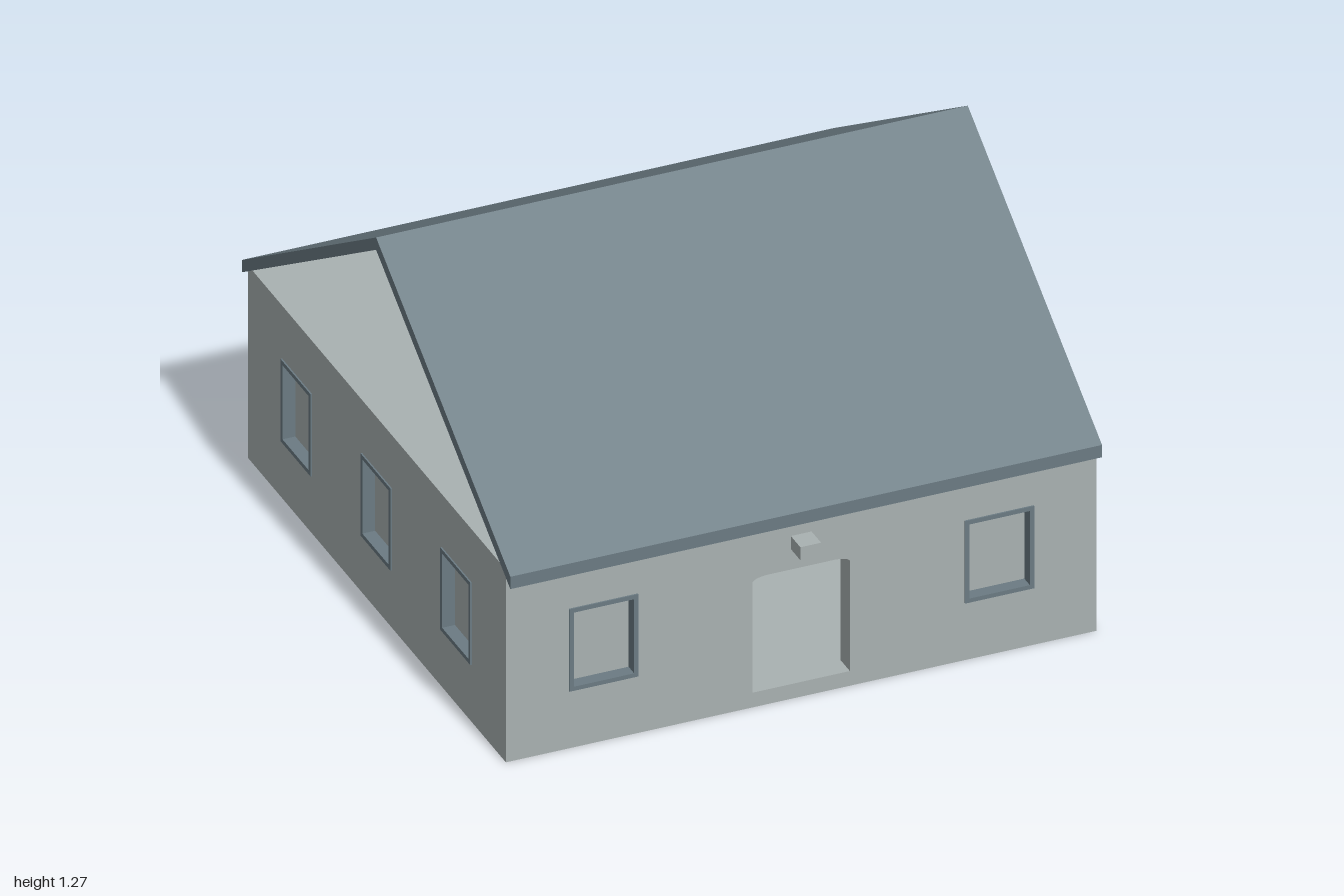
import * as THREE from 'three';

const wallMat = new THREE.MeshStandardMaterial({ color: 0xa9b1b1 });
wallMat.name = 'wall grey';
const roofMat = new THREE.MeshStandardMaterial({ color: 0x6b7b83 });
roofMat.name = 'slate blue';

const HALF_X = 0.94, FRONT = 0.93, BACK = -0.96, T = 0.07;
const MID_Z = (FRONT + BACK) / 2, WALL_H = 0.655;
const WIN = { w: 0.22, h: 0.28, y: 0.335, rim: 0.014 };

function add(parent, name, geometry, material, x = 0, y = 0, z = 0) {
  const mesh = new THREE.Mesh(geometry, material);
  mesh.name = name;
  mesh.position.set(x, y, z);
  parent.add(mesh);
  return mesh;
}

function rect(Type, w, h, cx = 0, cy = 0) {
  const p = new Type();
  p.moveTo(cx - w / 2, cy - h / 2);
  p.lineTo(cx + w / 2, cy - h / 2);
  p.lineTo(cx + w / 2, cy + h / 2);
  p.lineTo(cx - w / 2, cy + h / 2);
  p.closePath();
  return p;
}

const extrude = (shape, depth) =>
  new THREE.ExtrudeGeometry(shape, { depth, bevelEnabled: false, curveSegments: 6 });

// Doorway with a shallow curved head
function doorHole() {
  const p = new THREE.Path();
  p.moveTo(-0.155, 0.05);
  p.lineTo(0.155, 0.05);
  p.lineTo(0.155, 0.425);
  p.quadraticCurveTo(0.15, 0.437, 0.11, 0.44);
  p.lineTo(-0.11, 0.44);
  p.quadraticCurveTo(-0.15, 0.437, -0.155, 0.425);
  p.closePath();
  return p;
}

// A wall with its outer face at local z = 0, with framed windows at the given offsets
function wall(name, width, windows, hasDoor) {
  const g = new THREE.Group();
  g.name = name;
  const shape = rect(THREE.Shape, width, WALL_H, 0, WALL_H / 2);
  for (const u of windows) shape.holes.push(rect(THREE.Path, WIN.w, WIN.h, u, WIN.y));
  if (hasDoor) shape.holes.push(doorHole());
  add(g, name + 'Panel', extrude(shape, T), wallMat, 0, 0, -T);

  const ring = rect(THREE.Shape, WIN.w, WIN.h);
  ring.holes.push(rect(THREE.Path, WIN.w - 2 * WIN.rim, WIN.h - 2 * WIN.rim));
  const frameGeo = extrude(ring, T + 0.01);
  const paneGeo = new THREE.BoxGeometry(WIN.w - 0.01, WIN.h - 0.01, 0.008);
  for (const u of windows) {
    add(g, 'windowFrame', frameGeo, roofMat, u, WIN.y, -T - 0.005);
    add(g, 'windowPane', paneGeo, wallMat, u, WIN.y, -0.04);
  }
  return g;
}

export function createModel() {
  const house = new THREE.Group();
  house.name = 'house';

  // Four walls
  const front = wall('frontWall', 2 * HALF_X, [-0.63, 0.63], true);
  front.position.z = FRONT;
  const back = wall('backWall', 2 * HALF_X, [-0.63, 0, 0.63], false);
  back.rotation.y = Math.PI;
  back.position.z = BACK;
  house.add(front, back);
  for (const s of [1, -1]) {
    const side = wall(s > 0 ? 'leftWall' : 'rightWall', FRONT - BACK - 2 * T, [-0.585, 0, 0.585], false);
    side.rotation.y = s * Math.PI / 2;
    side.position.set(s * HALF_X, 0, MID_Z);
    house.add(side);
  }

  // Floor and ceiling slabs inside the walls
  const innerX = 2 * (HALF_X - T), innerZ = FRONT - BACK - 2 * T;
  add(house, 'floor', new THREE.BoxGeometry(innerX, 0.05, innerZ), wallMat, 0, 0.025, MID_Z);
  add(house, 'ceiling', new THREE.BoxGeometry(innerX, 0.055, innerZ), wallMat, 0, WALL_H - 0.0275, MID_Z);

  // Lamp box above the door
  add(house, 'doorLamp', new THREE.BoxGeometry(0.066, 0.044, 0.075), wallMat, 0, 0.532, 0.9625);

  // Open-ended gable roof, a chevron section swept along x (section x is -z)
  const section = new THREE.Shape([
    [-0.967, 0.61], [-0.967, 0.652], [0.017, 1.267], [1, 0.652], [1, 0.61], [0.017, 1.225],
  ].map(([x, y]) => new THREE.Vector2(x, y)));
  const roof = add(house, 'roof', extrude(section, 2 * HALF_X + 0.004), roofMat, -HALF_X - 0.002);
  roof.rotation.y = Math.PI / 2;

  return house;
}
